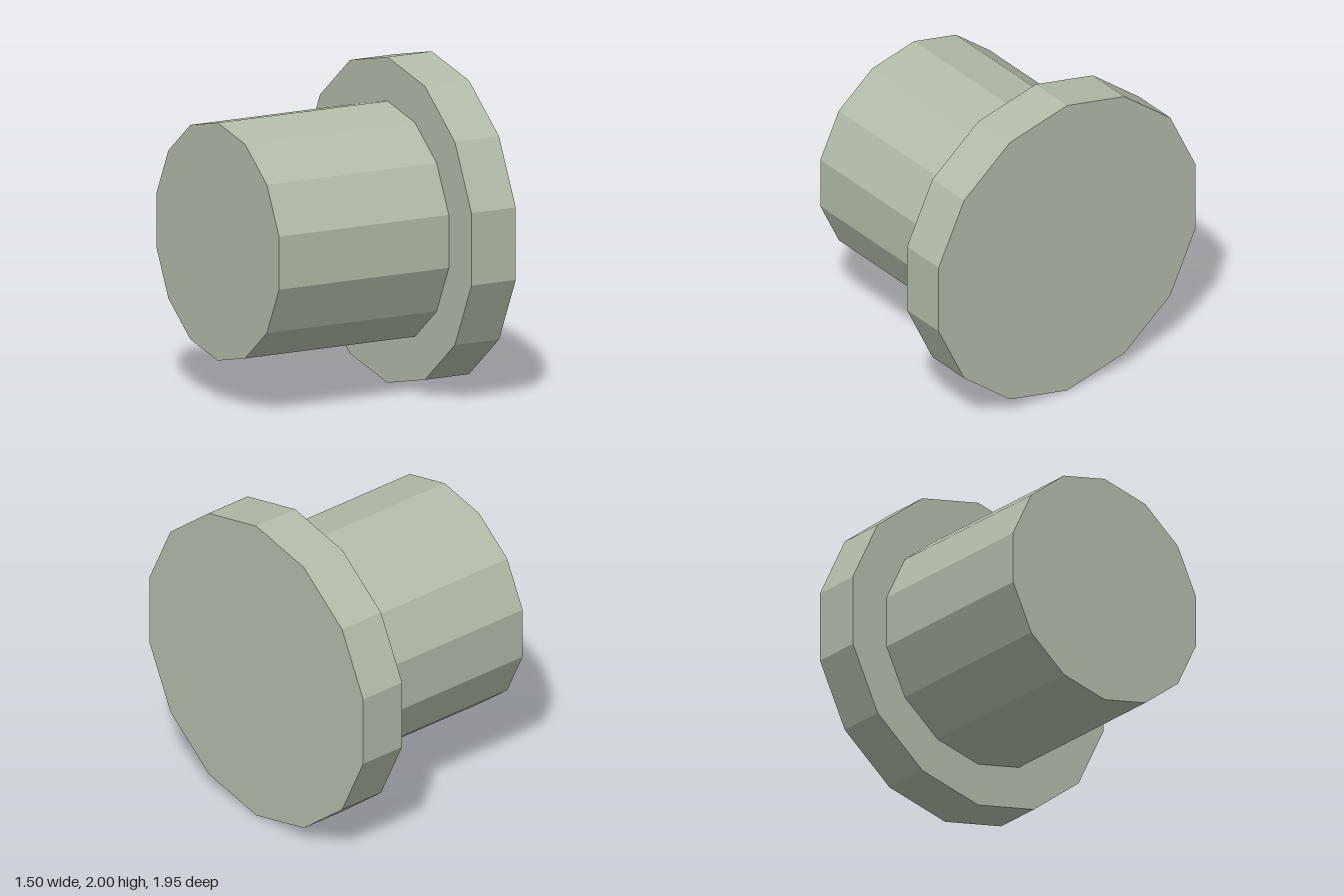
import * as THREE from 'three';

const SIDES = 14;

// Faceted disc lying along x, with a corner pointing straight up
function facetedDisc(name, radius, x0, x1, material) {
  const geometry = new THREE.CylinderGeometry(radius, radius, x1 - x0, SIDES, 1, false, Math.PI / 2);
  geometry.rotateZ(-Math.PI / 2);
  const mesh = new THREE.Mesh(geometry, material);
  mesh.name = name;
  mesh.position.set((x0 + x1) / 2, 1, 0);
  return mesh;
}

export function createModel() {
  const group = new THREE.Group();
  group.name = 'flangedPin';

  const sage = new THREE.MeshStandardMaterial({ color: 0xb2bba8, flatShading: true });
  sage.name = 'sageGrey';

  // Shaft, and the wide flange capping its left end
  group.add(facetedDisc('shaft', 0.73, -0.75, 0.44, sage));
  group.add(facetedDisc('flange', 1, 0.44, 0.75, sage));

  return group;
}
